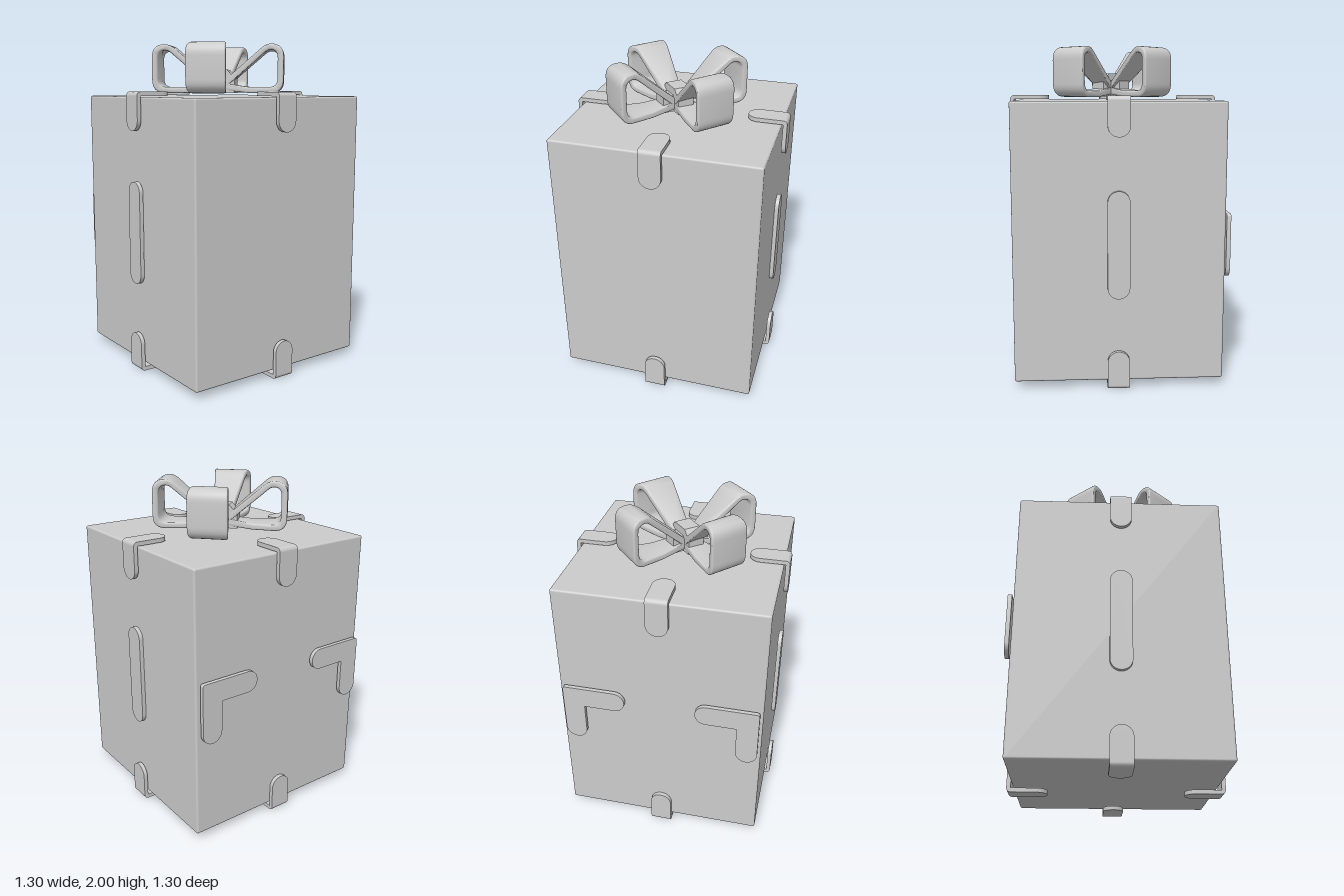
import * as THREE from 'three';
import { toCreasedNormals } from 'three/addons/utils/BufferGeometryUtils.js';
import { RoundedBoxGeometry } from 'three/addons/geometries/RoundedBoxGeometry.js';

const R = 0.065; // half width of the strips
const T = 0.025; // thickness of the strips
const grey = new THREE.MeshStandardMaterial({ color: 0xcccccc });

function add(parent, name, geometry) {
  const mesh = new THREE.Mesh(geometry, grey);
  mesh.name = name;
  parent.add(mesh);
  return mesh;
}

function extrude(shape, depth, options = {}) {
  const g = new THREE.ExtrudeGeometry(shape, { depth, bevelEnabled: false, curveSegments: 10, ...options });
  return toCreasedNormals(g, 0.7);
}

// Flat strip along +y, square at y = 0 and round at the far end
function tabGeometry(length) {
  const s = new THREE.Shape();
  s.moveTo(-R, 0).lineTo(R, 0).lineTo(R, length - R);
  s.absarc(0, length - R, R, 0, Math.PI, false);
  s.closePath();
  return extrude(s, T);
}

// Strip round at both ends, standing on y = 0
function stripGeometry(length) {
  const s = new THREE.Shape();
  s.absarc(0, R, R, Math.PI, Math.PI * 2, false);
  s.absarc(0, length - R, R, 0, Math.PI, false);
  s.closePath();
  return extrude(s, T);
}

// Angle bracket: corner at the origin, arms towards +x and -y
function bracketGeometry(size) {
  const w = R * 2, c = 0.02;
  const s = new THREE.Shape();
  s.moveTo(0, -c).lineTo(0, -size + R);
  s.absarc(R, -size + R, R, Math.PI, Math.PI * 2, false);
  s.lineTo(w, -w).lineTo(size - R, -w);
  s.absarc(size - R, -R, R, -Math.PI / 2, Math.PI / 2, false);
  s.lineTo(c, 0).quadraticCurveTo(0, 0, 0, -c);
  return extrude(s, T);
}

// Clip folded over an edge, with a rounded outer bend
function createClip(name) {
  const clip = new THREE.Group();
  clip.name = name;
  add(clip, 'clipWall', tabGeometry(0.205).rotateZ(Math.PI).translate(0, -T, 0.625));
  add(clip, 'clipFlap', tabGeometry(0.215).rotateX(-Math.PI / 2).translate(0, -T, 0.625));
  add(clip, 'clipBend', new THREE.CylinderGeometry(T, T, R * 2, 6, 1, false, 0, Math.PI / 2)
    .rotateZ(Math.PI / 2).translate(0, -T, 0.625));
  return clip;
}

// Ribbon loop: wedge-shaped band, widening towards its outer end
function loopGeometry() {
  const s = new THREE.Shape();
  s.moveTo(0.0, 1.745).lineTo(0.27, 1.975);
  s.quadraticCurveTo(0.3, 2.0, 0.33, 2.0);
  s.quadraticCurveTo(0.41, 2.0, 0.41, 1.92);
  s.lineTo(0.41, 1.78).quadraticCurveTo(0.41, 1.7, 0.33, 1.7);
  s.lineTo(0.2, 1.7).lineTo(0.0, 1.72).closePath();
  const h = new THREE.Path();
  h.moveTo(0.07, 1.755).lineTo(0.2, 1.737).lineTo(0.32, 1.737);
  h.quadraticCurveTo(0.373, 1.737, 0.373, 1.79);
  h.lineTo(0.373, 1.91).quadraticCurveTo(0.373, 1.963, 0.33, 1.963);
  h.quadraticCurveTo(0.31, 1.963, 0.29, 1.945).closePath();
  s.holes.push(h);
  const g = new THREE.ExtrudeGeometry(s, {
    depth: 0.22, curveSegments: 8, bevelThickness: 0.012, bevelSize: 0.01, bevelOffset: -0.01, bevelSegments: 3,
  });
  g.translate(0, 0, -0.11);
  const p = g.attributes.position;
  for (let i = 0; i < p.count; i++) p.setZ(i, p.getZ(i) * (0.38 + 0.62 * p.getX(i) / 0.41));
  return toCreasedNormals(g, 0.8);
}

function createBow() {
  const bow = new THREE.Group();
  bow.name = 'bow';
  const loop = loopGeometry();
  for (const a of [0.74, -0.74, Math.PI - 0.74, Math.PI + 0.74]) add(bow, 'bowLoop', loop).rotation.y = a;

  // Knot: an arched strap across a lower bar
  const s = new THREE.Shape();
  s.moveTo(-0.11, 1.7).lineTo(0.11, 1.7).lineTo(0.11, 1.79).lineTo(0.06, 1.845);
  s.lineTo(-0.06, 1.845).lineTo(-0.11, 1.79).closePath();
  add(bow, 'knotStrap', extrude(s, 0.1).translate(0, 0, -0.05)).rotation.y = -0.84;
  add(bow, 'knotBar', new THREE.BoxGeometry(0.24, 0.1, 0.09).translate(0, 1.75, 0)).rotation.y = 0.76;
  bow.position.set(-0.022, 0, 0.015);
  return bow;
}

export function createModel() {
  const model = new THREE.Group();
  model.name = 'giftBox';

  add(model, 'box', new RoundedBoxGeometry(1.23, 1.635, 1.23, 3, 0.012)).position.set(0, 0.8625, -0.004);

  // Clips at the middle of every top and bottom edge
  for (let i = 0; i < 4; i++) {
    const top = createClip('topClip');
    top.position.y = 1.71;
    top.rotation.y = i * Math.PI / 2;
    const bottom = createClip('bottomClip');
    bottom.rotation.set(0, i * Math.PI / 2, Math.PI);
    model.add(top, bottom);
  }

  // Upright strips on both sides
  for (const side of [1, -1]) {
    const strip = add(model, 'sideStrip', stripGeometry(0.63));
    strip.position.set(side > 0 ? 0.615 : -0.62, 0.545, 0);
    strip.rotation.y = side * Math.PI / 2;
  }

  // Angle brackets on the back, corners outwards and up
  add(model, 'rightBackBracket', bracketGeometry(0.38)).position.set(-0.597, 1.03, -0.655);
  const left = add(model, 'leftBackBracket', bracketGeometry(0.38));
  left.position.set(0.59, 1.03, -0.63);
  left.rotation.y = Math.PI;

  model.add(createBow());
  return model;
}
